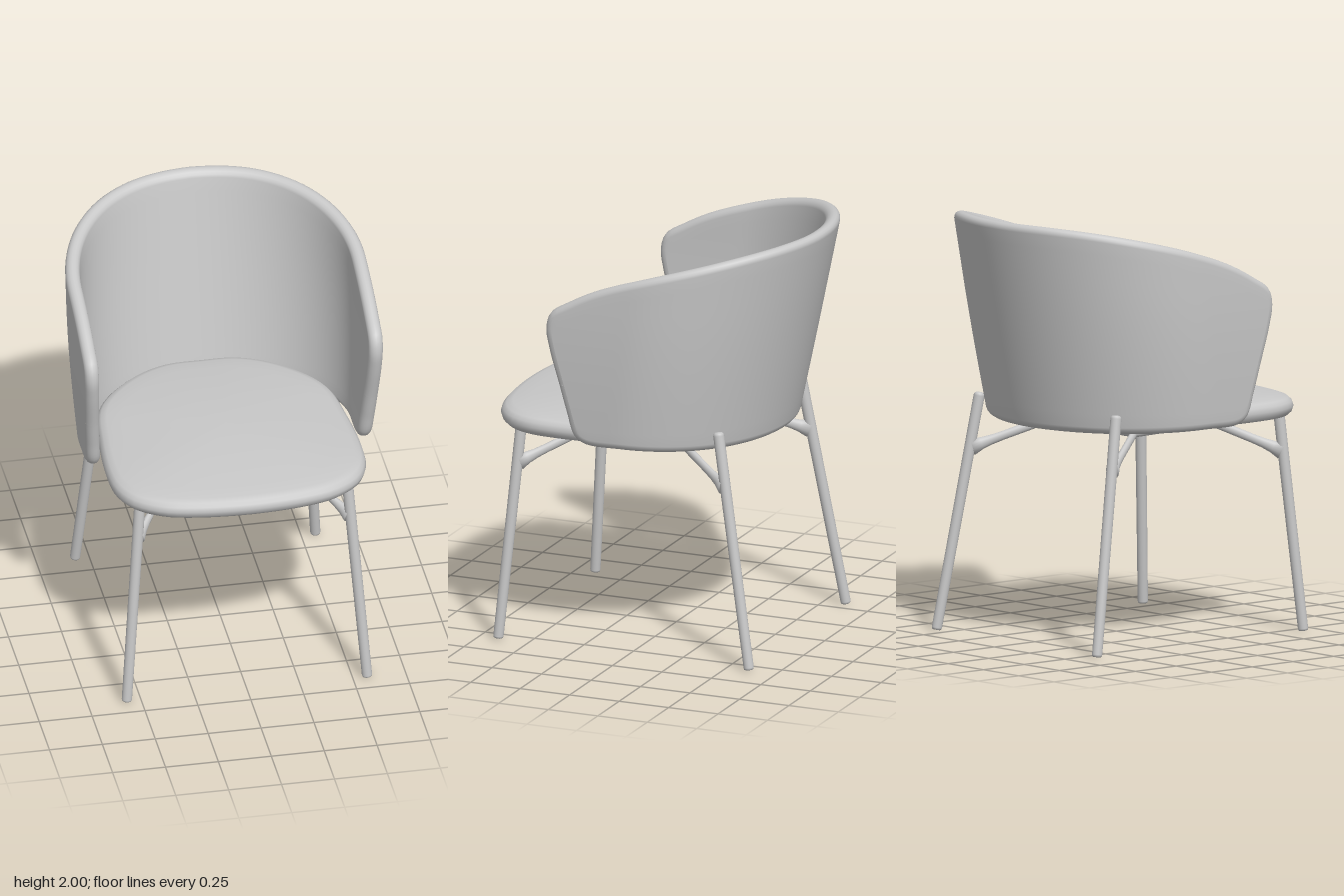
import * as THREE from 'three';

const grey = new THREE.MeshStandardMaterial({ color: 0xc8c8c8 });
grey.name = 'light grey';

const V3 = (x, y, z) => new THREE.Vector3(x, y, z);

function meshFrom(name, points, index) {
  const g = new THREE.BufferGeometry().setFromPoints(points);
  g.setIndex(index);
  g.computeVertexNormals();
  const m = new THREE.Mesh(g, grey);
  m.name = name;
  return m;
}

// ---- Wraparound backrest ----
const H = 0.034; // half thickness
const HALF_PI = Math.PI / 2;

// Plan of the middle surface at height y: straight arms joined by a half ellipse
function plan(y) {
  const t = (y - 1.01) / 0.99;
  const zc = 0.05 - 0.15 * t;
  return {
    w: 0.637 + 0.035 * Math.sin(Math.min(1, Math.max(0, t / 0.7)) * HALF_PI),
    zc,
    b: zc + 0.525 + 0.21 * t,
  };
}

// Distance round the plan: negative on the arms, positive on the curved back
function toQ(z, y) {
  const { zc, b } = plan(y);
  return z > zc ? zc - z : 0.65 * Math.asin(Math.min(1, (zc - z) / b));
}

function place(q, y, offset, side) {
  const { w, zc, b } = plan(y);
  const a = Math.max(0, q) / 0.65;
  const n = new THREE.Vector2(b * Math.cos(a), -w * Math.sin(a)).normalize();
  const z = q < 0 ? zc - q : zc - b * Math.sin(a);
  return V3(side * (w * Math.cos(a) + n.x * offset), y, z + n.y * offset);
}

function edgeCurve(pts) {
  return new THREE.CatmullRomCurve3(pts.map(([z, y]) => V3(toQ(z, y), y, 0)));
}

function backrest() {
  // Upper and lower edges as (z, y), both starting in the middle of the arm's front edge
  const top = edgeCurve([[0.302, 1.3], [0.35, 1.48], [0.365, 1.58], [0.342, 1.655], [0.25, 1.715],
    [0.1, 1.79], [-0.2, 1.89], [-0.5, 1.965], [-0.66, 1.993], [-9, 2]]);
  const bottom = edgeCurve([[0.302, 1.3], [0.27, 1.175], [0.235, 1.06], [0.18, 1.025],
    [0, 1.02], [-0.2, 1.015], [-0.35, 1.012], [-9, 1.01]]);
  const N = 56, CAP = 8, ROWS = 14;
  const points = [], index = [];
  let M = 0;
  for (let i = -N; i <= N; i++) {
    const side = i <= 0 ? 1 : -1;
    const u = Math.pow(1 - Math.abs(i) / N, 1.25);
    const section = [];
    // Rounded edge: inset along the inward normal while moving across the thickness
    const cap = (curve, turn) => {
      const p = curve.getPointAt(u), t = curve.getTangentAt(u);
      if (u === 1) t.set(1, 0, 0);
      for (let k = 0; k <= CAP; k++) {
        const a = turn * (k / CAP - 0.5) * Math.PI;
        const d = H * (1 - Math.cos(a));
        section.push([p.x - t.y * turn * d, p.y + t.x * turn * d, H * Math.sin(a)]);
      }
    };
    const span = (from, to) => {
      for (let k = 1; k < ROWS; k++) {
        section.push(from.map((v, c) => v + (to[c] - v) * k / ROWS));
      }
    };
    cap(bottom, 1);
    const lowerOuter = section[CAP];
    cap(top, -1);
    const topCap = section.splice(CAP + 1);
    span(lowerOuter, topCap[0]);
    section.push(...topCap);
    span(topCap[CAP], section[0]);
    M = section.length;
    section.forEach(([q, y, o]) => points.push(place(q, y, o, side)));
  }
  for (let c = 0; c < 2 * N; c++) {
    for (let k = 0; k < M; k++) {
      const a = c * M + k, b = c * M + (k + 1) % M;
      index.push(a, a + M, b, a + M, b + M, b);
    }
  }
  return meshFrom('backrest', points, index);
}

// ---- Cushioned seat ----
function seat() {
  const half = [[0.18, -0.505], [0.36, -0.41], [0.535, -0.2], [0.59, 0.1], [0.605, 0.38],
    [0.59, 0.51], [0.535, 0.62], [0.42, 0.705], [0.28, 0.745]];
  const outline = [[0, -0.515], ...half, [0, 0.768], ...half.map(([x, z]) => [-x, z]).reverse()];
  const curve = new THREE.CatmullRomCurve3(outline.map(([x, z]) => V3(x, 0, z)), true);
  const N = 96, zc = 0.13;
  const loop = curve.getSpacedPoints(N).slice(0, N);
  // Rings as (scale, y): flat underside, round edge, gently crowned top
  const rings = [[0, 1.01], [0.5, 1.01], [0.93, 1.01], [0.965, 1.015], [0.99, 1.032], [1, 1.055],
    [0.99, 1.078], [0.965, 1.094], [0.92, 1.104]];
  for (const s of [0.8, 0.65, 0.5, 0.35, 0.2, 0.1, 0]) rings.push([s, 1.14 - 0.043 * s * s]);
  const points = [], index = [];
  rings.forEach(([s, y]) => loop.forEach(p => points.push(V3(p.x * s, y, zc + (p.z - zc) * s))));
  for (let r = 0; r < rings.length - 1; r++) {
    for (let k = 0; k < N; k++) {
      const a = r * N + k, b = r * N + (k + 1) % N;
      index.push(a, a + N, b, a + N, b + N, b);
    }
  }
  const m = meshFrom('seat', points, index);
  // Face the surface outwards whichever way the outline runs
  const area = loop.reduce((t, p, i) => {
    const n = loop[(i + 1) % N];
    return t + p.x * n.z - n.x * p.z;
  }, 0);
  if (area > 0) {
    // outline runs from +x to +z, so upward faces already wind outwards
    m.geometry.setIndex(index);
  } else {
    m.geometry.setIndex(index.slice().reverse());
  }
  m.geometry.computeVertexNormals();
  return m;
}

// ---- Turned bar from a to b; profile rows are (radius, distance as a share of the length) ----
function bar(name, a, b, profile, flatten = 1) {
  const dir = b.clone().sub(a), len = dir.length();
  dir.normalize();
  const g = new THREE.LatheGeometry(profile.map(([r, t]) => new THREE.Vector2(r, t * len)), 20);
  const m = new THREE.Mesh(g, grey);
  const x = V3(0, 1, 0).cross(dir);
  if (x.length() < 1e-4) x.set(1, 0, 0);
  x.normalize();
  m.quaternion.setFromRotationMatrix(
    new THREE.Matrix4().makeBasis(x, dir, x.clone().cross(dir)));
  m.position.copy(a);
  m.scale.x = flatten;
  m.name = name;
  return m;
}

export function createModel() {
  const chair = new THREE.Group();
  chair.name = 'chair';
  chair.add(seat(), backrest());

  const leg = [[0, 0], [0.017, 0], [0.022, 0.003], [0.024, 0.01], [0.026, 0.985],
    [0.023, 0.994], [0.016, 0.999], [0, 1]];
  const brace = [[0, 0], [0.021, 0], [0.021, 0.6], [0.023, 0.75], [0.029, 0.88], [0.042, 1], [0, 1]];
  const rail = [[0, 0], [0.021, 0], [0.021, 1], [0, 1]];
  const frontCorner = s => V3(s * 0.3, 0.988, 0.32);
  const backCorner = s => V3(s * 0.3, 0.98, -0.15);

  for (const s of [1, -1]) {
    const side = s > 0 ? 'left' : 'right';
    // Splayed legs
    chair.add(bar(side + 'FrontLeg', V3(s * 0.568, 0.004, 0.655), V3(s * 0.49, 1.03, 0.572), leg));
    chair.add(bar(side + 'BackLeg', V3(s * 0.568, 0.004, -0.612), V3(s * 0.483, 1.11, -0.42), leg));
    // Braces flaring into the legs
    chair.add(bar(side + 'FrontBrace', frontCorner(s), V3(s * 0.498, 0.85, 0.58), brace, 0.75));
    chair.add(bar(side + 'BackBrace', backCorner(s), V3(s * 0.498, 0.855, -0.455), brace, 0.75));
    // Side rails and rounded corner joints of the under-seat frame
    chair.add(bar(side + 'Rail', backCorner(s), frontCorner(s), rail));
    for (const p of [frontCorner(s), backCorner(s)]) {
      const joint = new THREE.Mesh(new THREE.SphereGeometry(0.0215, 16, 12), grey);
      joint.position.copy(p);
      joint.name = side + 'FrameJoint';
      chair.add(joint);
    }
  }
  chair.add(bar('frontRail', frontCorner(-1), frontCorner(1), rail));
  chair.add(bar('backRail', backCorner(-1), backCorner(1), rail));
  return chair;
}
